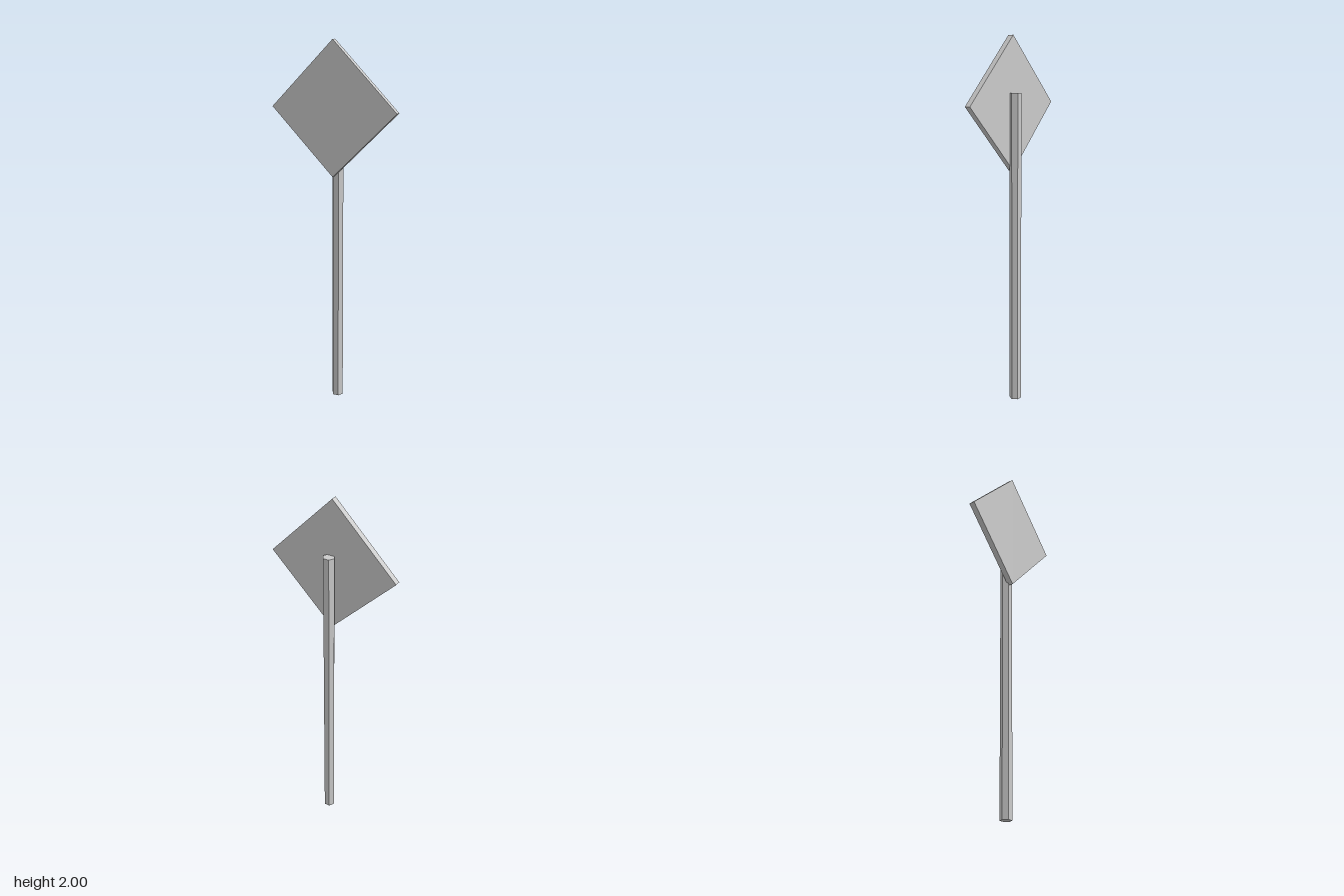
import * as THREE from 'three';

export function createModel() {
  const model = new THREE.Group();
  const material = new THREE.MeshStandardMaterial({ color: 0xcccccc, flatShading: true });

  // Hexagonal post, corners pointing left and right, set slightly off centre
  const postHeight = 1.705;
  const post = new THREE.Mesh(
    new THREE.CylinderGeometry(0.032, 0.032, postHeight, 6, 1, false, Math.PI / 6),
    material
  );
  post.name = 'post';
  post.position.set(0.007, postHeight / 2, -0.0115);
  model.add(post);

  // Square sign panel turned on its corner, fixed to the front of the post
  const halfDiagonal = 0.353;
  const side = halfDiagonal * Math.SQRT2;
  const panel = new THREE.Mesh(new THREE.BoxGeometry(side, side, 0.032), material);
  panel.name = 'signPanel';
  panel.rotation.z = Math.PI / 4;
  panel.position.set(0, 2 - halfDiagonal, 0.023);
  model.add(panel);

  return model;
}
